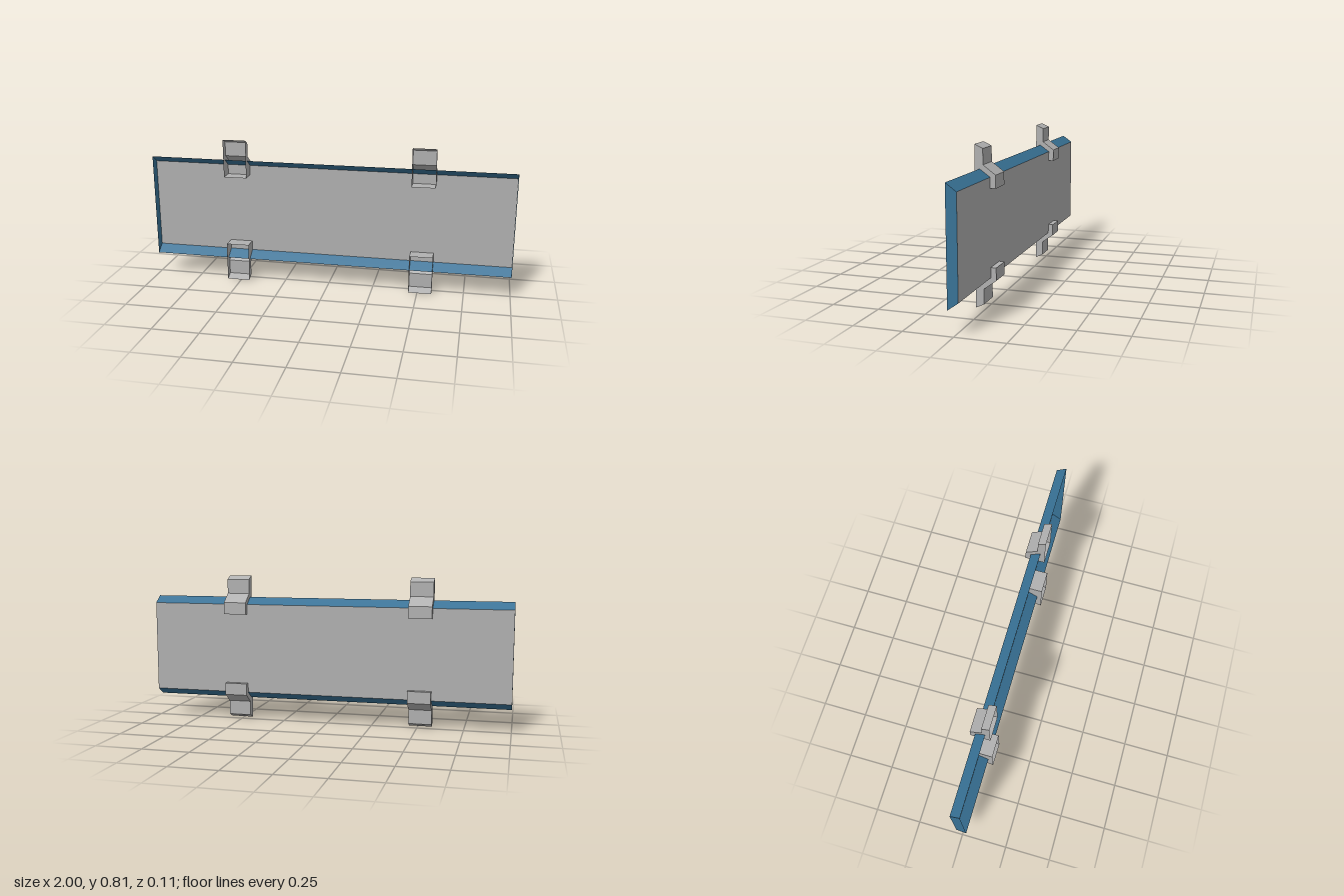
import * as THREE from 'three';
import { mergeGeometries } from 'three/addons/utils/BufferGeometryUtils.js';

const HEIGHT = 0.81;

// Flat strips along x following a [z, y] profile, listed front -> over the top -> down the back -> front
function walls(points, width) {
  const strips = [];
  for (let i = 0; i < points.length - 1; i++) {
    const [z0, y0] = points[i], [z1, y1] = points[i + 1];
    const strip = new THREE.PlaneGeometry(width, Math.hypot(z1 - z0, y1 - y0));
    strip.rotateX(Math.atan2(z1 - z0, y1 - y0));
    strip.translate(0, (y0 + y1) / 2, (z0 + z1) / 2);
    strips.push(strip);
  }
  return mergeGeometries(strips);
}

// The two end plates that close a profile at +x and -x
function ends(points, width) {
  const shape = new THREE.Shape(points.map(([z, y]) => new THREE.Vector2(z, y)));
  const left = new THREE.ShapeGeometry(shape).rotateY(Math.PI / 2).scale(1, 1, -1);
  const right = new THREE.ShapeGeometry(shape).rotateY(-Math.PI / 2);
  // mirrored plate: restore its outward winding
  left.setIndex(Array.from(left.index.array).reverse());
  left.computeVertexNormals();
  left.translate(width / 2, 0, 0);
  right.translate(-width / 2, 0, 0);
  return mergeGeometries([left, right]);
}

export function createModel() {
  const group = new THREE.Group();
  const grey = new THREE.MeshStandardMaterial({ color: 0xb0b0b0, side: THREE.DoubleSide });
  grey.name = 'grey';
  const blue = new THREE.MeshStandardMaterial({ color: 0x387296, side: THREE.DoubleSide });
  blue.name = 'blue';

  const add = (name, geometry, material, parent = group) => {
    const mesh = new THREE.Mesh(geometry, material);
    mesh.name = name;
    parent.add(mesh);
    return mesh;
  };

  // Shallow tray, open at the front: sloping blue rim and grey back
  const tray = [[0.028, 0.692], [-0.025, 0.654], [-0.025, 0.158], [0.028, 0.12]];
  add('trayTopRim', walls(tray.slice(0, 2), 2), blue);
  add('trayBack', walls(tray.slice(1, 3), 2), grey);
  add('trayBottomRim', walls(tray.slice(2, 4), 2), blue);
  add('trayEnds', ends(tray, 2), blue);

  // Hollow stepped clips, open at the front, two above and two below
  const upper = [[0.053, 0.81], [0.011, 0.79], [0.011, 0.712], [-0.053, 0.665], [-0.053, 0.6], [0.053, 0.6]];
  const lower = upper.map(([z, y]) => [z, HEIGHT - y]).reverse();
  for (const [level, profile] of [['upper', upper], ['lower', lower]]) {
    for (const [side, sign] of [['Left', 1], ['Right', -1]]) {
      const clip = new THREE.Group();
      clip.name = `${level}${side}Clip`;
      clip.position.x = sign * 0.515;
      add('clipShell', walls(profile, 0.126), grey, clip);
      add('clipSides', ends(profile, 0.126), grey, clip);
      group.add(clip);
    }
  }
  return group;
}
